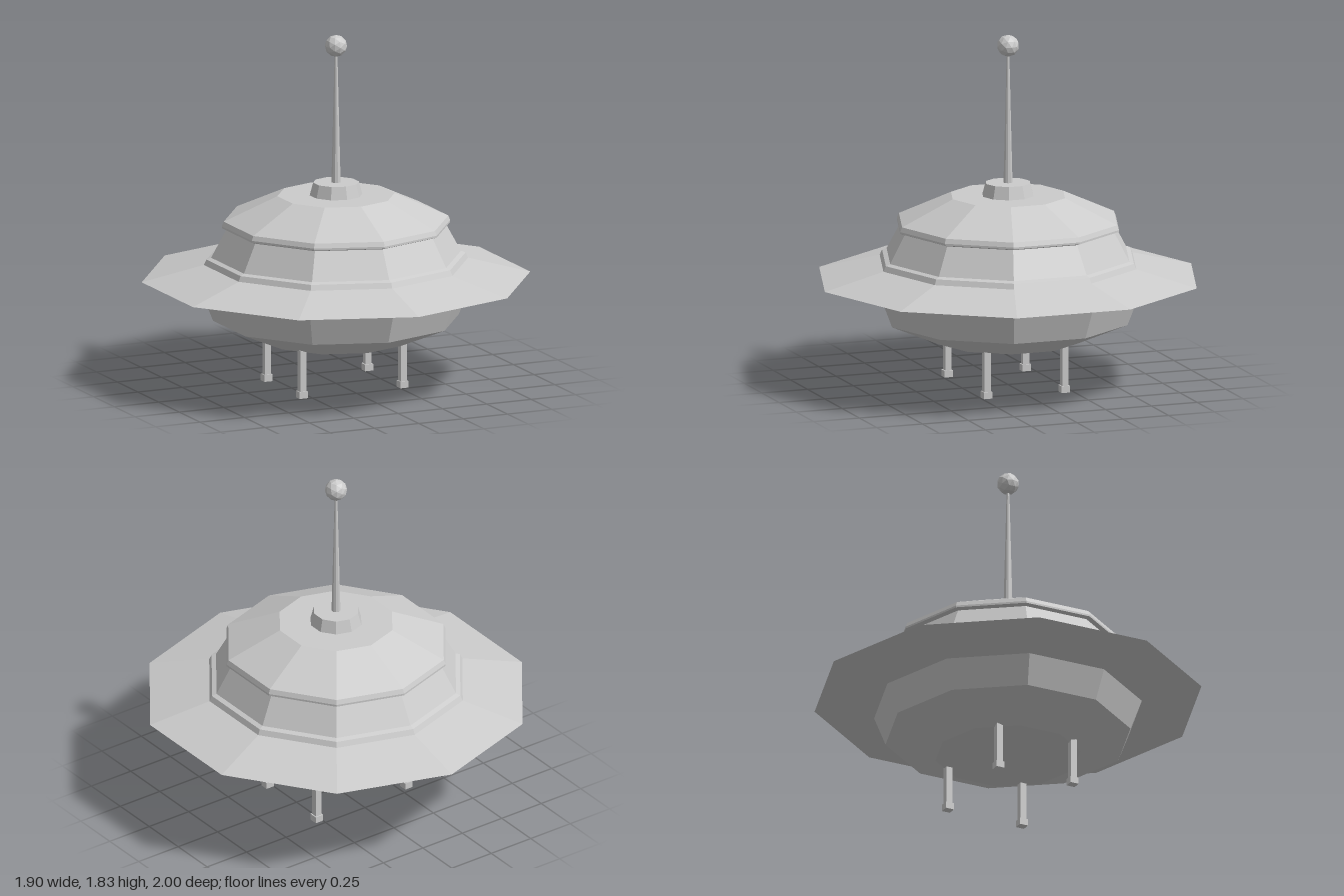
import * as THREE from 'three';

const SIDES = 10;
const grey = new THREE.MeshStandardMaterial({ color: 0xcccccc, flatShading: true });

function add(parent, name, geometry, x = 0, y = 0, z = 0) {
  const mesh = new THREE.Mesh(geometry, grey);
  mesh.name = name;
  mesh.position.set(x, y, z);
  parent.add(mesh);
  return mesh;
}

// ten-sided turned shape; profile is [radius, height] from bottom to top
function turned(profile) {
  return new THREE.LatheGeometry(profile.map(([r, y]) => new THREE.Vector2(r, y)), SIDES);
}

export function createModel() {
  const model = new THREE.Group();
  model.name = 'flyingSaucer';

  // hull: belly, wide flange, stepped ledge, cabin wall and lipped roof
  add(model, 'hull', turned([
    [0, 0.237], [0.375, 0.237], [0.633, 0.346], [0.692, 0.498],
    [1, 0.558],
    [0.68, 0.64], [0.667, 0.668], [0.643, 0.677],
    [0.565, 0.822], [0.588, 0.83], [0.588, 0.84], [0.578, 0.864],
    [0.302, 0.99], [0, 0.99],
  ]));

  // antenna base, mast and ball
  add(model, 'antennaBase', turned([[0.137, 0.985], [0.118, 1.056], [0, 1.056]]));
  add(model, 'antennaMast', new THREE.CylinderGeometry(0.007, 0.024, 0.69, SIDES), 0, 1.395, 0);
  add(model, 'antennaBall', new THREE.IcosahedronGeometry(0.057, 1), 0, 1.77, 0);

  // four square legs with small feet
  for (const x of [-0.295, 0.272]) {
    for (const z of [-0.205, 0.22]) {
      const leg = new THREE.Group();
      leg.name = 'landingLeg';
      leg.position.set(x, 0, z);
      add(leg, 'strut', new THREE.BoxGeometry(0.034, 0.22, 0.034), 0, 0.14, 0);
      add(leg, 'foot', new THREE.BoxGeometry(0.046, 0.035, 0.046), 0, 0.0175, 0);
      model.add(leg);
    }
  }
  return model;
}
